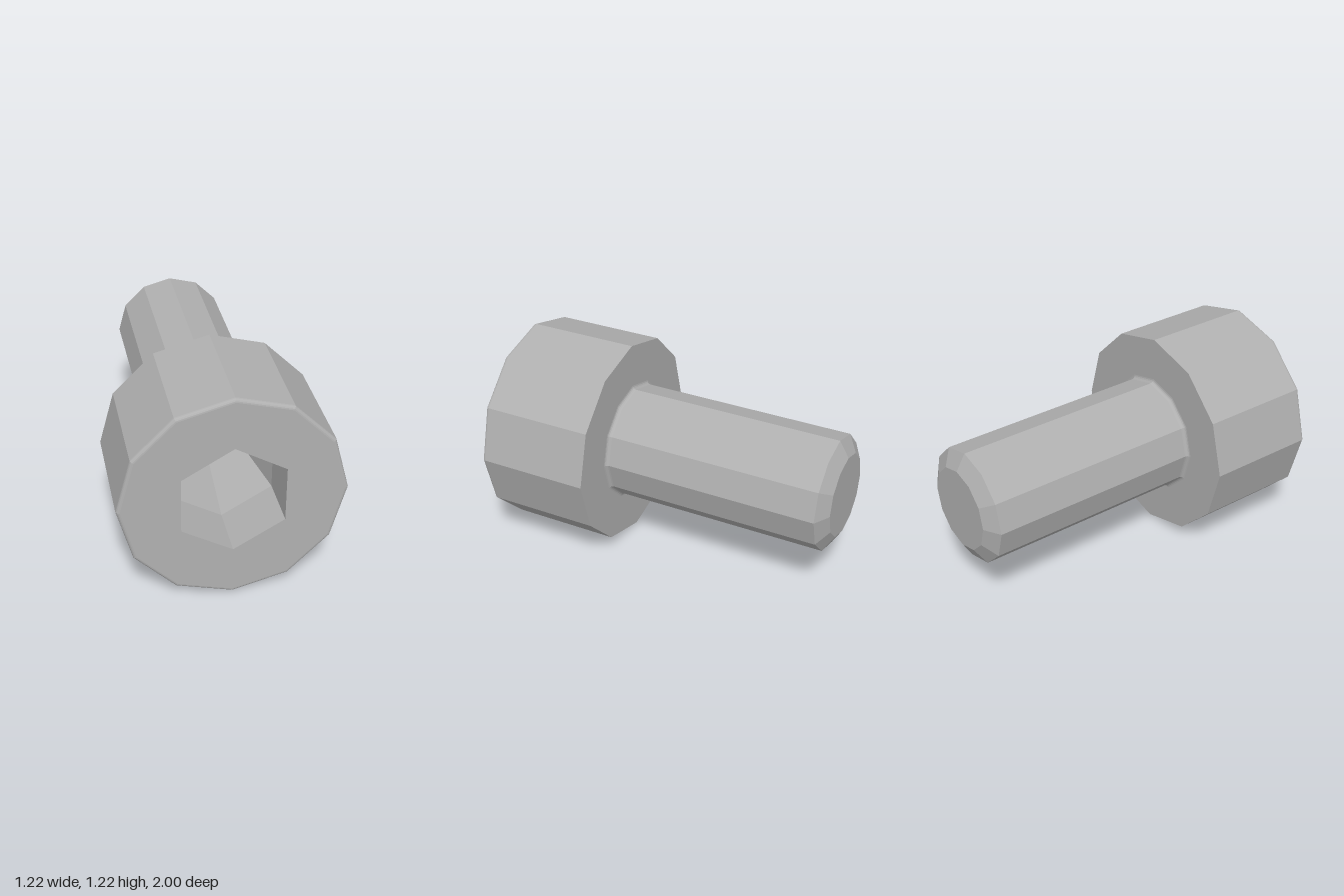
import * as THREE from 'three';

const R = 0.612;        // head radius, also the height of the axis
const SHAFT = 0.335;    // shank radius
const SOCKET = 0.32;    // hex socket corner radius
const RIM = 0.02;       // rounding of the head's front edge

// Faceted turned surface around the z axis; profile entries are [radius, z].
// Increasing z faces outward, decreasing z faces inward.
function turned(profile, sides) {
  const points = profile.map(([r, z]) => new THREE.Vector2(r, z));
  return new THREE.LatheGeometry(points, sides).rotateX(Math.PI / 2);
}

// Corner points of a regular polygon with one corner straight up
function polygon(radius, sides) {
  return Array.from({ length: sides }, (_, i) => {
    const a = Math.PI / 2 + (i / sides) * Math.PI * 2;
    return new THREE.Vector2(Math.cos(a) * radius, Math.sin(a) * radius);
  });
}

// Points along a quarter-round, from angle a0 to a1
function arc(cr, cz, radius, a0, a1, steps = 4) {
  return Array.from({ length: steps + 1 }, (_, i) => {
    const a = a0 + ((a1 - a0) * i) / steps;
    return [cr + Math.cos(a) * radius, cz + Math.sin(a) * radius];
  });
}

export function createModel() {
  const steel = new THREE.MeshStandardMaterial({ color: 0xb0b0b0 });
  steel.name = 'steel grey';
  steel.flatShading = true;

  const model = new THREE.Group();
  model.name = 'socketHeadBolt';
  const add = (name, geometry) => {
    const mesh = new THREE.Mesh(geometry, steel);
    mesh.name = name;
    mesh.position.y = R;
    model.add(mesh);
  };

  // Head: underside, wall and rounded front rim
  add('head', turned([
    [SHAFT, 0.335], [R, 0.335],
    ...arc(R - RIM, 1 - RIM, RIM, 0, Math.PI / 2),
  ], 12));

  // Flat front of the head with the hexagonal opening
  const face = new THREE.Shape(polygon(R - RIM, 12));
  face.holes.push(new THREE.Path(polygon(SOCKET, 6).reverse()));
  add('headFace', new THREE.ShapeGeometry(face).translate(0, 0, 1));

  // Hex socket: straight walls, then tapering to a point
  add('hexSocket', turned([[SOCKET, 1], [SOCKET, 0.7], [0, -0.35]], 6));

  // Shank: flat tip, chamfer, straight body and small fillet under the head
  add('shank', turned([
    [0, -1], [0.24, -1], [SHAFT, -0.945],
    ...arc(SHAFT + 0.022, 0.313, 0.022, Math.PI, Math.PI / 2),
  ], 12));

  return model;
}
